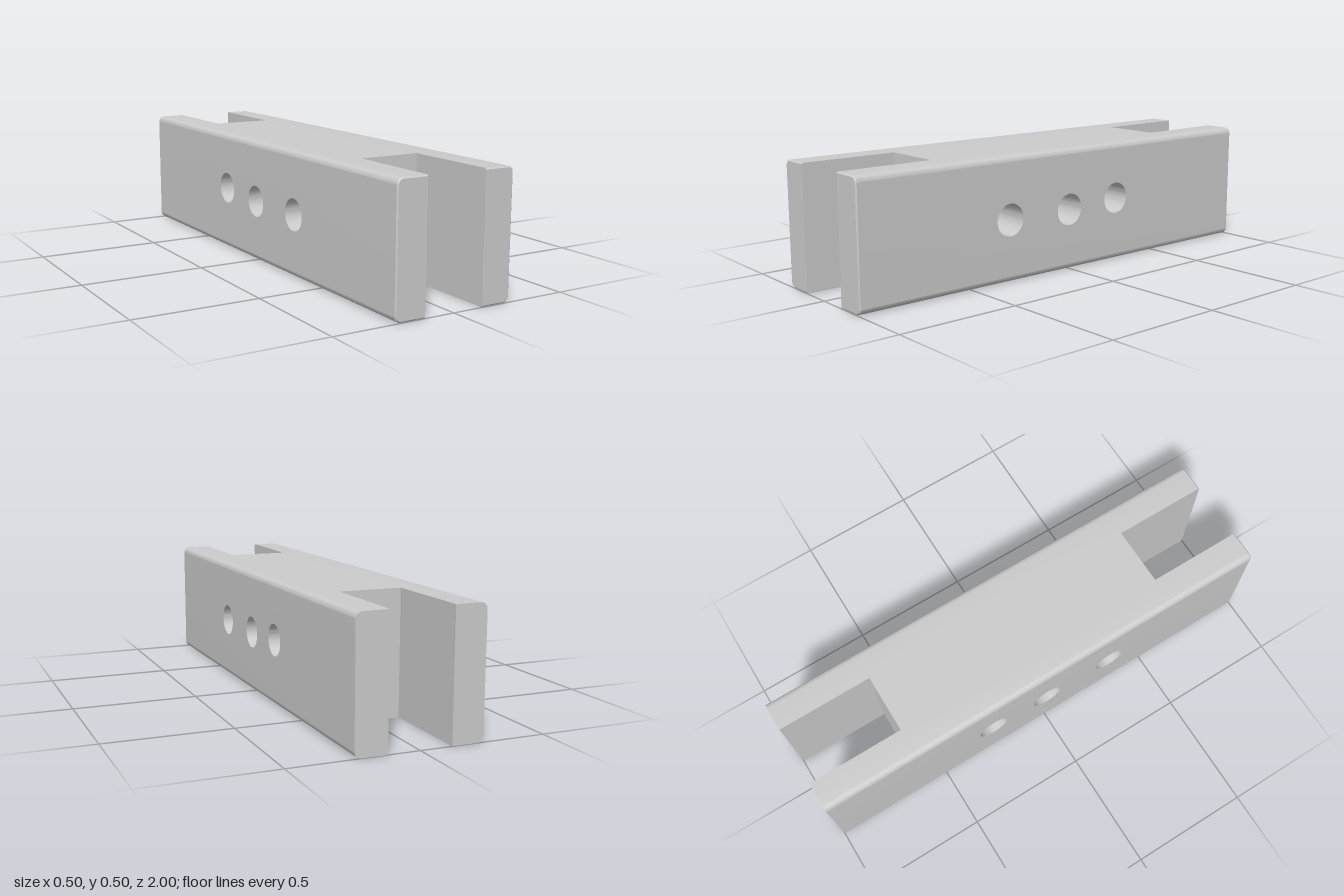
import * as THREE from 'three';
import { toCreasedNormals } from 'three/addons/utils/BufferGeometryUtils.js';

const H = 0.5;          // bar height and width
const R = 0.025;        // rounding of the long edges
const SLOT = 0.125;     // half width of the end slots
const CHAMFER = 0.005;  // small bevel on the front end
const ROUND_STEPS = 6;
const HOLES = [[0.315, 0.25], [0.005, 0.25], [-0.257, 0.265]]; // z, y
const HOLE_R = 0.065;

// Side profile from zBack to zFront (shape x is -z), optionally drilled
function profile(zBack, zFront, drilled) {
  const shape = new THREE.Shape([
    new THREE.Vector2(-zFront, 0), new THREE.Vector2(-zBack, 0),
    new THREE.Vector2(-zBack, H), new THREE.Vector2(-zFront, H),
  ]);
  if (drilled) for (const [z, y] of HOLES) {
    shape.holes.push(new THREE.Path().absarc(-z, y, HOLE_R, 0, Math.PI * 2, true));
  }
  return shape;
}

// Extrude a side profile across x
function extrudeX(shape, depth, steps) {
  return new THREE.ExtrudeGeometry(shape, { depth, steps, bevelEnabled: false, curveSegments: 24 })
    .rotateY(Math.PI / 2);
}

// Outer slab on one side: the last extrusion steps follow the rounded corner
function cheekGeometry(shape, side) {
  const steps = ROUND_STEPS + 1;
  const geo = extrudeX(shape, steps, steps);
  const p = geo.attributes.position;
  for (let i = 0; i < p.count; i++) {
    const t = Math.round(p.getX(i));
    const step = side > 0 ? t : steps - t;
    const y = p.getY(i) - H / 2;
    const r = p.getZ(i) > 0.999 ? R - CHAMFER : R;
    const a = Math.max(0, step - 1) / ROUND_STEPS * Math.PI / 2;
    const x = step === 0 ? SLOT : H / 2 - R + r * Math.sin(a);
    const onEdge = Math.abs(y) > H / 2 - 0.001;
    const newY = onEdge ? Math.sign(y) * (H / 2 - R + r * Math.cos(a)) : y;
    p.setXYZ(i, side * x, newY + H / 2, p.getZ(i));
  }
  return geo;
}

export function createModel() {
  const group = new THREE.Group();
  group.name = 'slottedBar';
  const material = new THREE.MeshStandardMaterial({ color: 0xcccccc });
  const add = (name, geo) => {
    const mesh = new THREE.Mesh(toCreasedNormals(geo, 0.5), material);
    mesh.name = name;
    group.add(mesh);
  };

  // Middle block between the two end slots
  add('core', extrudeX(profile(-0.6, 0.6, true), SLOT * 2, 1).translate(-SLOT, 0, 0));

  // Full-length side slabs with a bevelled front tip
  for (const [label, side] of [['left', 1], ['right', -1]]) {
    add(label + 'Cheek', cheekGeometry(profile(-1, 1 - CHAMFER, true), side));
    add(label + 'FrontBevel', cheekGeometry(profile(1 - CHAMFER, 1, false), side));
  }
  return group;
}
